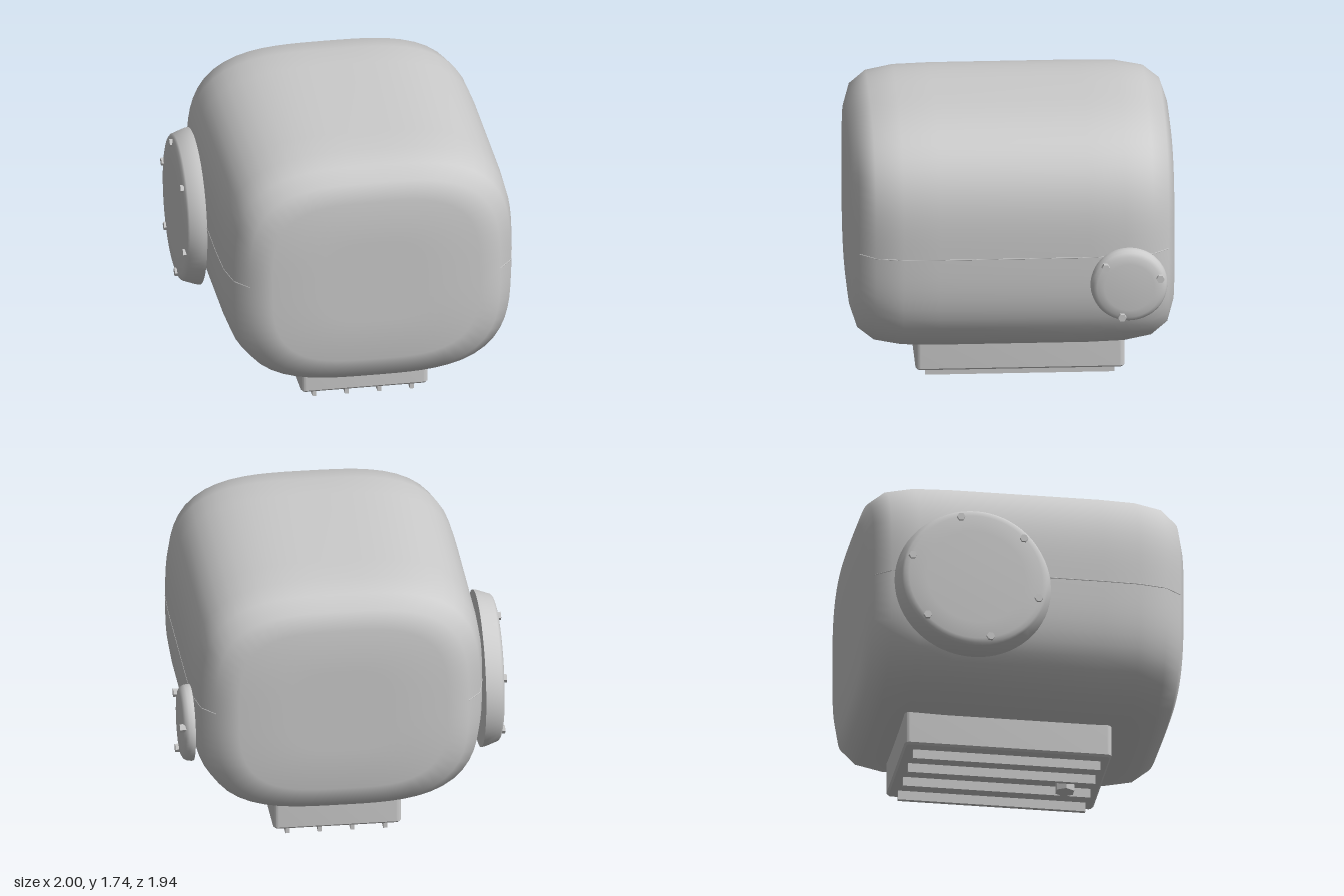
import * as THREE from 'three';
import { toCreasedNormals } from 'three/addons/utils/BufferGeometryUtils.js';

const material = new THREE.MeshStandardMaterial({ color: 0xcccccc });
const CENTER = { x: 0.02, y: 1.003 };
const HALF = { x: 0.885, y: 0.741 };
const ROUNDNESS = 3.3;

// Front half of the housing: [z, scale of the cross-section]
const FRONT = [[0.972, 0], [0.972, 0.35], [0.972, 0.715], [0.932, 0.865], [0.835, 0.955], [0.67, 0.992], [0.45, 1]];
const RINGS = [...FRONT, ...FRONT.map(([z, s]) => [-z, s]).reverse()];

function add(parent, name, geometry, x = 0, y = 0, z = 0) {
  const mesh = new THREE.Mesh(geometry, material);
  mesh.name = name;
  mesh.position.set(x, y, z);
  parent.add(mesh);
  return mesh;
}

// Smooth housing lofted through superellipse cross-sections
function housingGeometry(segments = 72) {
  const positions = [], index = [];
  RINGS.forEach(([z, s], i) => {
    for (let j = 0; j < segments; j++) {
      const a = (j / segments) * Math.PI * 2;
      const c = Math.cos(a), n = Math.sin(a);
      const r = s / (Math.abs(c) ** ROUNDNESS + Math.abs(n) ** ROUNDNESS) ** (1 / ROUNDNESS);
      positions.push(CENTER.x + HALF.x * r * c, CENTER.y + HALF.y * r * n, z);
      if (i === RINGS.length - 1) continue;
      const p = i * segments + j, q = i * segments + (j + 1) % segments;
      index.push(p, p + segments, q, q, p + segments, q + segments);
    }
  });
  const geometry = new THREE.BufferGeometry();
  geometry.setAttribute('position', new THREE.Float32BufferAttribute(positions, 3));
  geometry.setIndex(index);
  geometry.computeVertexNormals();
  return geometry;
}

// Thin seam bead following the side of the housing
function seamGeometry(side) {
  const points = RINGS.filter(([, s]) => s > 0.8)
    .map(([z, s]) => new THREE.Vector3(CENTER.x + side * HALF.x * s, 1, z));
  const path = new THREE.CatmullRomCurve3(points, false, 'catmullrom', 0);
  return new THREE.TubeGeometry(path, 80, 0.003, 6);
}

// Round, slightly domed bolted cover, built along +y and then turned sideways
function cover(name, side, profile, bolts, boltRadius, boltTop) {
  const group = new THREE.Group();
  group.name = name;
  const points = profile.map(([r, h]) => new THREE.Vector2(r, h));
  const turn = (g) => g.rotateZ(-side * Math.PI / 2);
  add(group, 'coverPlate', turn(toCreasedNormals(new THREE.LatheGeometry(points, 64), 1.2)));
  for (let i = 0; i < bolts; i++) {
    const a = THREE.MathUtils.degToRad(43) + (i / bolts) * Math.PI * 2;
    const bolt = toCreasedNormals(new THREE.CylinderGeometry(0.025, 0.025, 0.04, 6), 0.5);
    add(group, 'coverBolt', turn(bolt), side * (boltTop - 0.02),
      boltRadius * Math.sin(a), boltRadius * Math.cos(a));
  }
  return group;
}

// Sump block with rounded corners and a small bevel
function sumpGeometry(w, d, h, r, bevel) {
  const x = w / 2 - bevel, y = d / 2 - bevel;
  const shape = new THREE.Shape();
  shape.absarc(x - r, y - r, r, 0, Math.PI / 2);
  shape.absarc(r - x, y - r, r, Math.PI / 2, Math.PI);
  shape.absarc(r - x, r - y, r, Math.PI, Math.PI * 1.5);
  shape.absarc(x - r, r - y, r, Math.PI * 1.5, Math.PI * 2);
  const geometry = new THREE.ExtrudeGeometry(shape, {
    depth: h - 2 * bevel, bevelSize: bevel, bevelThickness: bevel, bevelSegments: 1, curveSegments: 4,
  });
  geometry.translate(0, 0, bevel).rotateX(-Math.PI / 2);
  return toCreasedNormals(geometry, 0.5);
}

export function createModel() {
  const model = new THREE.Group();
  model.name = 'gearHousing';

  add(model, 'housing', housingGeometry());
  for (const side of [-1, 1]) add(model, 'seam', seamGeometry(side));

  // Large cover on one side, small cover on the other
  const large = cover('largeCover', -1,
    [[0, 0], [0.476, 0], [0.472, 0.024], [0.445, 0.1], [0.432, 0.112], [0.405, 0.12], [0.3, 0.125], [0, 0.127]],
    6, 0.4, 0.135);
  large.position.set(-0.865, 0.917, -0.35);
  const small = cover('smallCover', 1,
    [[0, 0], [0.23, 0], [0.232, 0.012], [0.229, 0.036], [0.217, 0.058], [0.195, 0.07], [0.15, 0.075], [0, 0.077]],
    3, 0.195, 0.093);
  small.position.set(0.907, 0.831, -0.685);
  model.add(large, small);

  // Sump with cooling fins and a hexagonal drain plug
  add(model, 'sump', sumpGeometry(0.776, 1.26, 0.26, 0.02, 0.012), CENTER.x, 0.074, -0.055);
  for (let i = 0; i < 4; i++) {
    add(model, 'coolingFin', new THREE.BoxGeometry(0.025, 0.08, 1.14), -0.277 + i * 0.198, 0.056, -0.055);
  }
  const plug = new THREE.CylinderGeometry(0.061, 0.061, 0.1, 6).rotateY(Math.PI / 2);
  add(model, 'drainPlug', toCreasedNormals(plug, 0.5), CENTER.x, 0.05, 0.346);

  return model;
}
